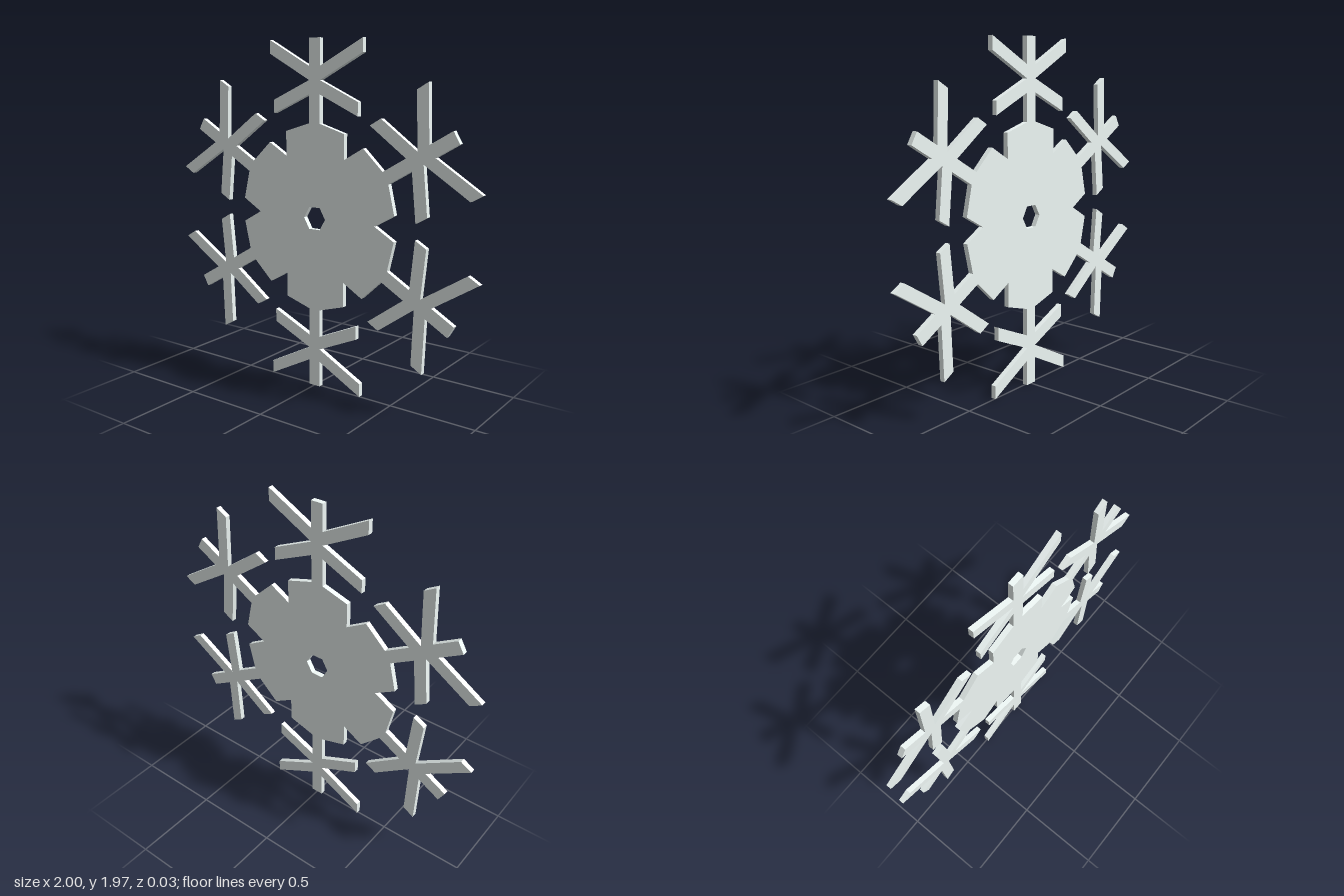
import * as THREE from 'three';

const ARMS = 6;
const RADIUS = 0.983;
const THICKNESS = 0.03;

// Right half of the arm pointing up, from the hub valley out to the tip
const HALF_ARM = [
  [0.196, 0.339], // valley between two arms
  [0.196, 0.478], // hub shoulder
  [0.036, 0.526], // foot of the stem
  [0.036, 0.683], // lower branch
  [0.281, 0.573],
  [0.281, 0.649],
  [0.036, 0.759], // fork between the branches
  [0.308, 0.902], // upper branch
  [0.308, 0.977],
  [0.036, 0.834],
  [0.036, RADIUS], // stem tip
];

function createOutline() {
  const mirrored = HALF_ARM.map(([x, y]) => [-x, y]);
  // The right-hand valley is the next arm's first point, so it is left out
  const arm = [...mirrored, ...HALF_ARM.slice(1).reverse()];
  const centre = new THREE.Vector2();
  const points = [];
  for (let i = 0; i < ARMS; i++) {
    const angle = (-i * 2 * Math.PI) / ARMS;
    for (const [x, y] of arm) {
      points.push(new THREE.Vector2(x, y).rotateAround(centre, angle));
    }
  }
  return new THREE.Shape(points);
}

function createHexagonHole(radius) {
  const points = [];
  for (let i = 0; i < 6; i++) {
    const a = (i * Math.PI) / 3;
    points.push(new THREE.Vector2(radius * Math.cos(a), radius * Math.sin(a)));
  }
  return new THREE.Path(points);
}

export function createModel() {
  const group = new THREE.Group();
  group.name = 'snowflakeOrnament';

  // Flat plate: hub with six branching arms and a hexagonal centre hole
  const shape = createOutline();
  shape.holes.push(createHexagonHole(0.072));
  const geometry = new THREE.ExtrudeGeometry(shape, { depth: THICKNESS, bevelEnabled: false });
  geometry.translate(0, RADIUS, -THICKNESS / 2);

  // Pale icy white
  const material = new THREE.MeshStandardMaterial({ color: 0xf1faf8, flatShading: true });
  const snowflake = new THREE.Mesh(geometry, material);
  snowflake.name = 'snowflake';
  group.add(snowflake);
  return group;
}
